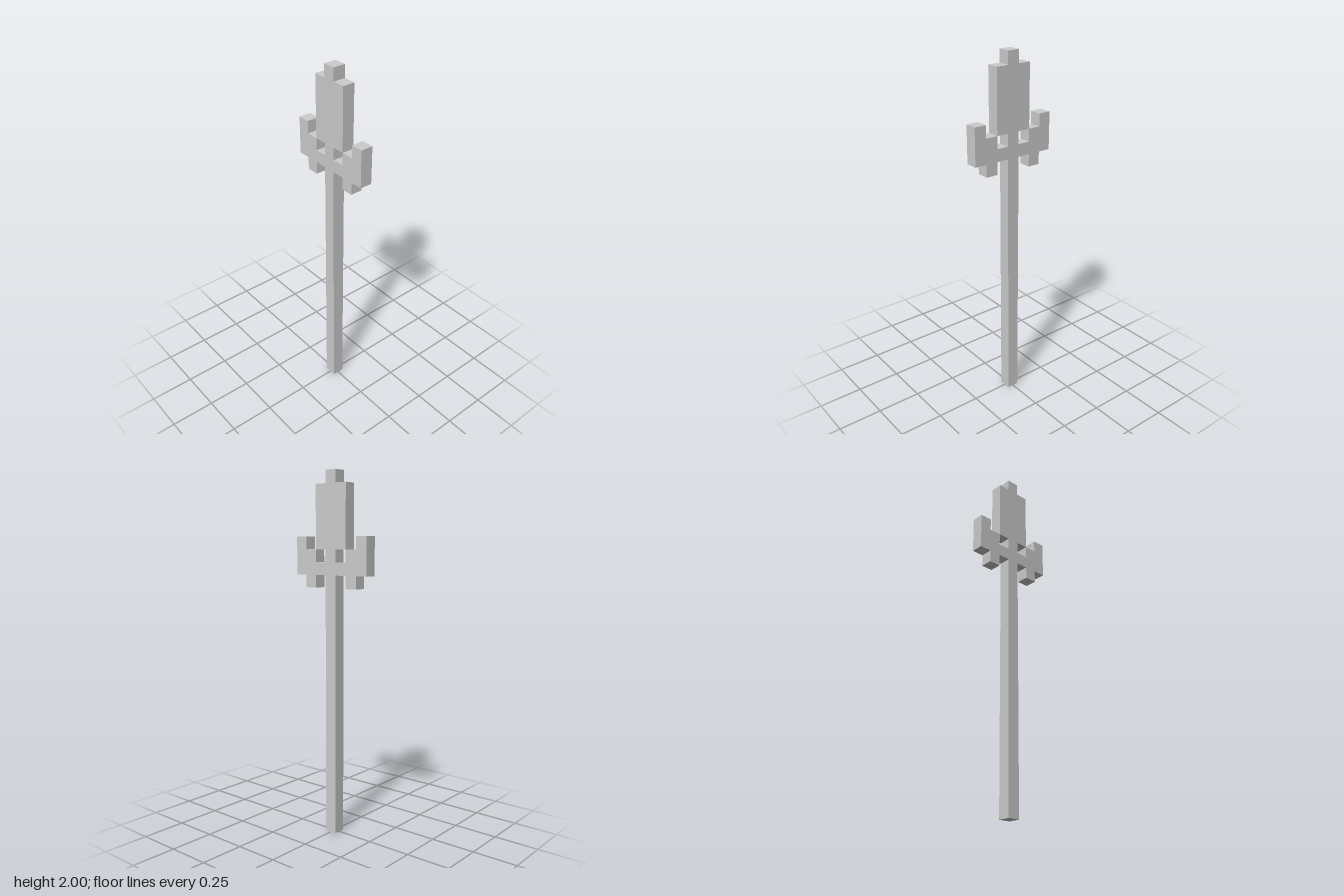
import * as THREE from 'three';

// One block of the grid: the spear is 29 blocks tall and one block thick
const U = 2 / 29;

export function createModel() {
  const group = new THREE.Group();
  const material = new THREE.MeshStandardMaterial({ color: 0xcccccc, flatShading: true });

  // Extrudes an outline given in blocks, centred on z = 0
  const addPlate = (name, outline) => {
    const shape = new THREE.Shape(outline.map(([x, y]) => new THREE.Vector2(x * U, y * U)));
    const geometry = new THREE.ExtrudeGeometry(shape, { depth: U, bevelEnabled: false });
    geometry.translate(0, 0, -U / 2);
    const mesh = new THREE.Mesh(geometry, material);
    mesh.name = name;
    group.add(mesh);
  };

  // Long square shaft, up to the base of the spearhead
  addPlate('shaft', [[-0.5, 0], [0.5, 0], [0.5, 23], [-0.5, 23]]);

  // Broad spearhead with a one-block tip
  addPlate('spearhead', [
    [-1.5, 23], [1.5, 23], [1.5, 28], [0.5, 28],
    [0.5, 29], [-0.5, 29], [-0.5, 28], [-1.5, 28],
  ]);

  // Stepped side prongs: crossbar, lower spur and raised outer tip
  const prong = [
    [0.5, 21], [1.5, 21], [1.5, 20], [2.5, 20], [2.5, 21], [3.5, 21],
    [3.5, 24], [2.5, 24], [2.5, 23], [1.5, 23], [1.5, 22], [0.5, 22],
  ];
  addPlate('leftProng', prong);
  addPlate('rightProng', prong.map(([x, y]) => [-x, y]).reverse());

  return group;
}
